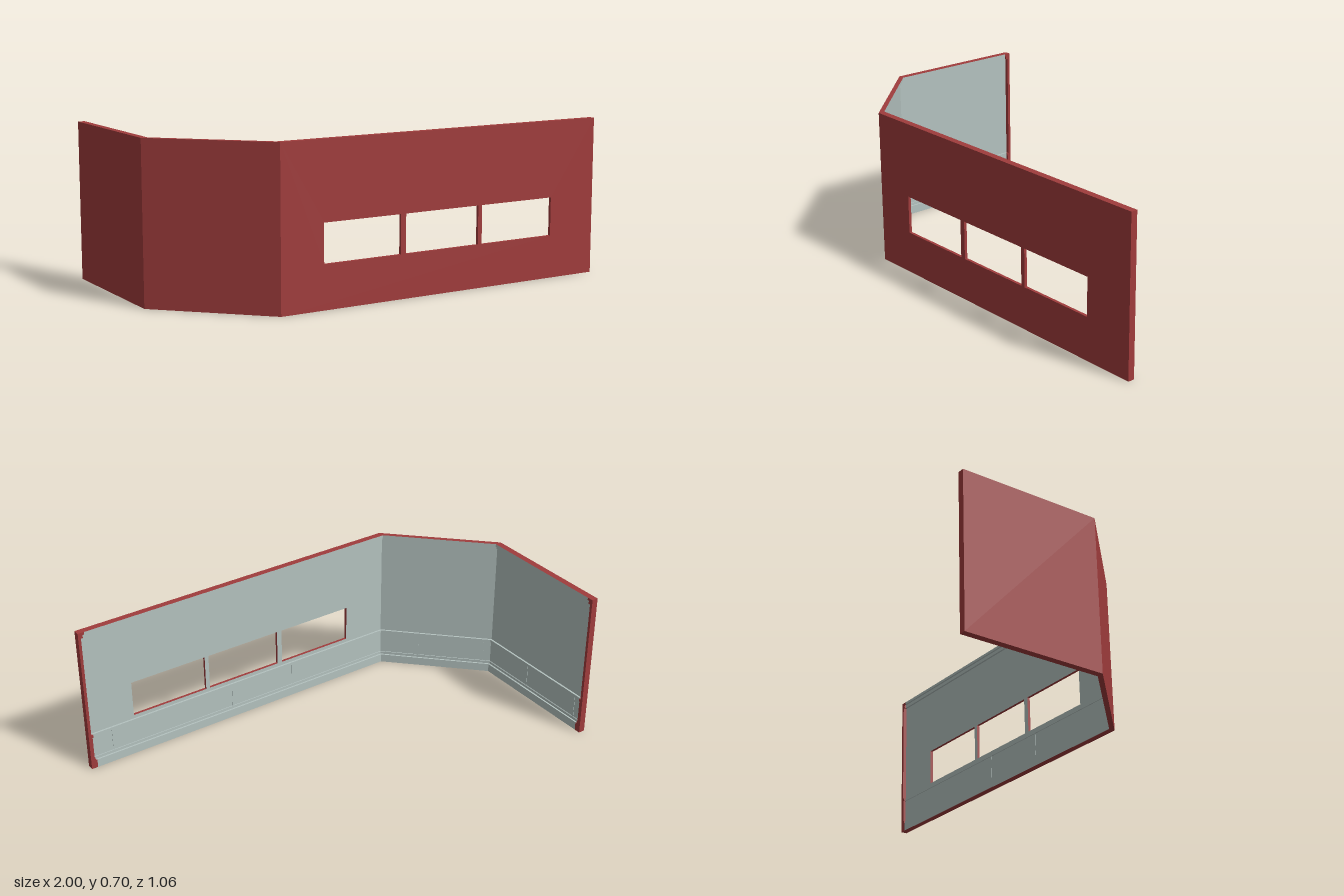
import * as THREE from 'three';

const H = 0.697;
const RECESS = 0.017;
const K = Math.tan(Math.PI / 8);
const WINDOWS = [[-0.395, -0.025], [0, 0.37], [0.39, 0.765]];
const SILL = 0.19, HEAD = 0.36;

// Inner face in plan, set back by e into the wall: flange, reveal, three runs, reveal, flange
const innerPath = (e) => [
  [1, 0.5], [0.97 + e, 0.5], [0.97 + e, 0.5 + e], [-0.594 - K * e, 0.5 + e],
  [-0.97 - e, 0.124 + K * e], [-0.97 - e, -0.5 - e], [-0.97, -0.5 - e], [-0.97, -0.53],
];
const OUTER = [[-1, -0.53], [-1, 0.124], [-0.594, 0.53], [1, 0.53]];
const INNER = [[-0.97, -0.53], [-0.97, 0.124], [-0.594, 0.5], [1, 0.5]];

// Setback of the lining and its height, from skirting to cornice
const PROFILE = [
  [0, 0], [0, 0.04], [0.008, 0.04], [0.008, 0.053], [0.012, 0.053], [0.012, 0.16],
  [0.008, 0.16], [0.008, 0.173], [RECESS, 0.173], [RECESS, 0.67],
  [0.008, 0.67], [0.008, 0.685], [0, 0.685], [0, H],
];

// Flat shaded mesh from a list of four-cornered faces
function quadMesh(name, quads, material) {
  const pos = [];
  for (const [a, b, c, d] of quads) pos.push(...a, ...b, ...c, ...a, ...c, ...d);
  const g = new THREE.BufferGeometry();
  g.setAttribute('position', new THREE.Float32BufferAttribute(pos, 3));
  g.computeVertexNormals();
  const mesh = new THREE.Mesh(g, material);
  mesh.name = name;
  return mesh;
}

// Flat wall face with window holes; side -1 faces the back
function windowFace(name, x0, x1, y0, y1, z, side, material) {
  const rect = (T, a, b, c, d) => {
    const s = new T();
    s.moveTo(a * side, c).lineTo(b * side, c).lineTo(b * side, d).lineTo(a * side, d).closePath();
    return s;
  };
  const shape = rect(THREE.Shape, x0, x1, y0, y1);
  for (const [a, b] of WINDOWS) shape.holes.push(rect(THREE.Path, a, b, SILL, HEAD));
  const g = new THREE.ShapeGeometry(shape);
  if (side < 0) g.rotateY(Math.PI);
  g.translate(0, 0, z);
  const mesh = new THREE.Mesh(g, material);
  mesh.name = name;
  return mesh;
}

export function createModel() {
  const group = new THREE.Group();
  group.name = 'angledWall';
  const red = new THREE.MeshStandardMaterial({ color: 0xa03c3c });
  const grey = new THREE.MeshStandardMaterial({ color: 0xb4c2bf });
  const upright = ([ax, az], [bx, bz], y0, y1) =>
    [[ax, y0, az], [bx, y0, bz], [bx, y1, bz], [ax, y1, az]];

  // Outer shell, end caps, top and bottom
  const shell = [
    upright(OUTER[0], OUTER[1], 0, H), upright(OUTER[1], OUTER[2], 0, H),
    upright(OUTER[3], INNER[3], 0, H), upright(INNER[0], OUTER[0], 0, H),
  ];
  for (let i = 0; i < 3; i++) {
    const ring = [OUTER[i], OUTER[i + 1], INNER[i + 1], INNER[i]];
    shell.push(ring.map(([x, z]) => [x, H, z]));
    shell.push(ring.map(([x, z]) => [x, 0, z]).reverse());
  }
  group.add(quadMesh('outerShell', shell, red));
  group.add(windowFace('frontFace', -0.594, 1, 0, H, 0.53, 1, red));

  // Moulded lining swept along the inner face, with plain end posts
  const lining = [], posts = [];
  for (let j = 0; j < PROFILE.length - 1; j++) {
    const [e0, y0] = PROFILE[j], [e1, y1] = PROFILE[j + 1];
    const lo = innerPath(e0), hi = innerPath(e1);
    const isField = e0 === RECESS && e1 === RECESS;
    for (let i = 0; i < lo.length - 1; i++) {
      if (isField && i === 2) continue; // replaced by the face with windows
      const at = ([x, z], y) => [x, y, z];
      const q = [at(lo[i], y0), at(lo[i + 1], y0), at(hi[i + 1], y1), at(hi[i], y1)];
      (i >= 2 && i <= 4 ? lining : posts).push(q);
    }
  }
  group.add(quadMesh('innerLining', lining, grey));
  group.add(quadMesh('endPosts', posts, red));
  group.add(windowFace('windowLining', -0.594 - K * RECESS, 0.97 + RECESS,
    0.173, 0.67, 0.5 + RECESS, -1, grey));

  // Window reveals
  const reveals = [];
  for (const [a, b] of WINDOWS) {
    const c = [[a, SILL], [b, SILL], [b, HEAD], [a, HEAD]];
    c.forEach((p, i) => {
      const n = c[(i + 1) % 4];
      reveals.push([[...p, 0.5 + RECESS], [...p, 0.53], [...n, 0.53], [...n, 0.5 + RECESS]]);
    });
  }
  group.add(quadMesh('windowReveals', reveals, red));

  // Thin upright battens on the lower panelling: run of the path, fraction along it
  const path = innerPath(0.012);
  for (const [run, t] of [[2, 0.065], [2, 0.46], [2, 0.67], [3, 0.34], [3, 0.93], [4, 0.42], [4, 0.93]]) {
    const [ax, az] = path[run], [bx, bz] = path[run + 1];
    const batten = new THREE.Mesh(new THREE.BoxGeometry(0.006, 0.107, 0.004), grey);
    batten.position.set(ax + (bx - ax) * t, 0.1065, az + (bz - az) * t);
    batten.rotation.y = Math.atan2(-(bz - az), bx - ax);
    batten.name = 'panelBatten';
    group.add(batten);
  }
  return group;
}
